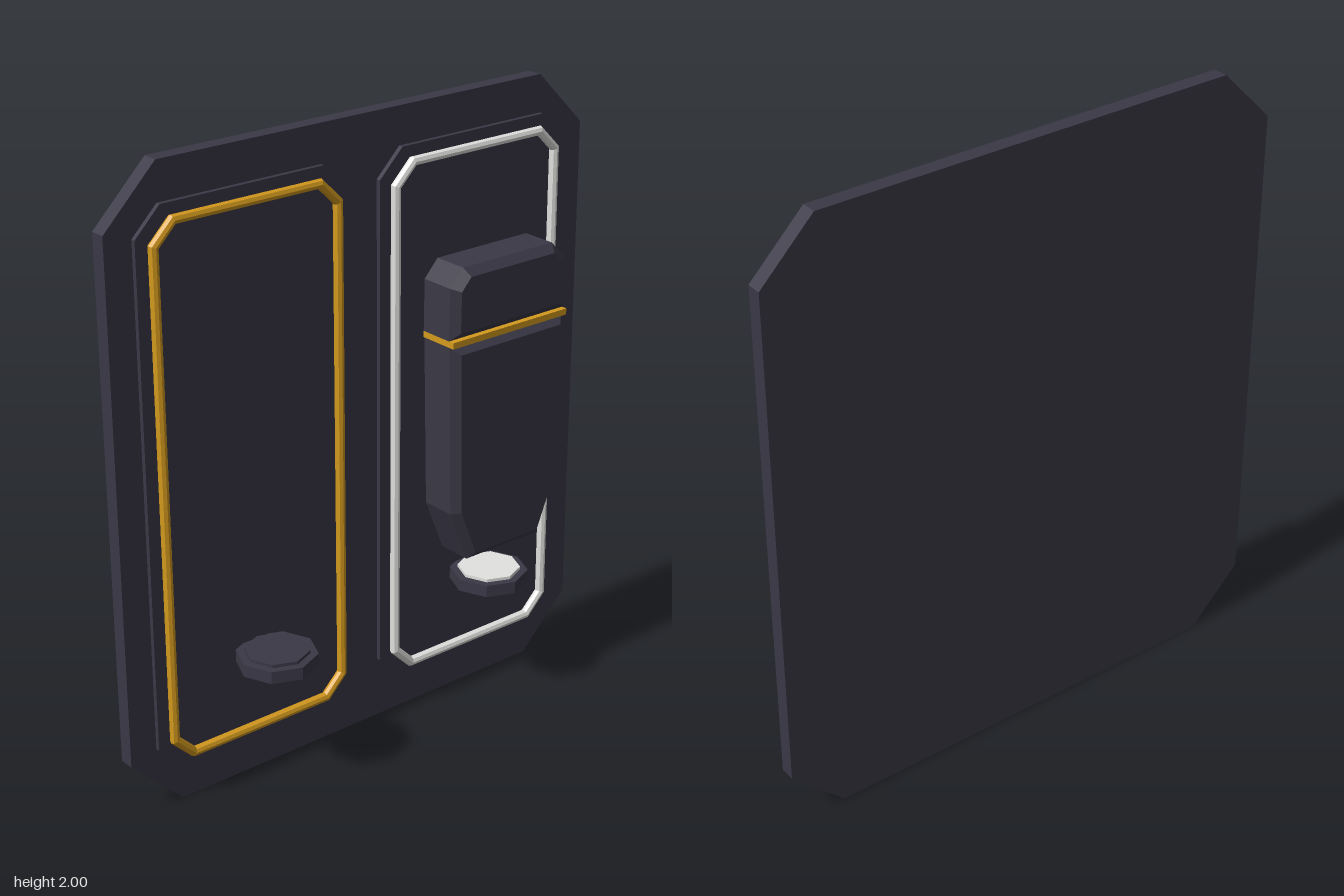
import * as THREE from 'three';

// Outlines are [a, y] points, counter-clockwise seen from +x, with a = -z.
const chamferRect = (a0, a1, y0, y1, c) => [
  [a0 + c, y0], [a1 - c, y0], [a1, y0 + c], [a1, y1 - c],
  [a1 - c, y1], [a0 + c, y1], [a0, y1 - c], [a0, y0 + c],
];

// Moves every edge of a convex outline inward by d
function inset(pts, d) {
  const n = pts.length;
  const normal = (p, q) => {
    const l = Math.hypot(q[0] - p[0], q[1] - p[1]);
    return [-(q[1] - p[1]) / l, (q[0] - p[0]) / l];
  };
  return pts.map((p, i) => {
    const m = normal(pts[(i + n - 1) % n], p), k = normal(p, pts[(i + 1) % n]);
    const s = d / (1 + m[0] * k[0] + m[1] * k[1]);
    return [p[0] + (m[0] + k[0]) * s, p[1] + (m[1] + k[1]) * s];
  });
}

// Joins steps of [x, inset] along an outline; open stacks are capped, closed ones form a ring
function loft(outline, steps, closed = false) {
  const loops = steps.map(([x, d]) => inset(outline, d).map(([a, y]) => [x, y, -a]));
  const n = outline.length, pos = [];
  const tri = (...v) => v.forEach((p) => pos.push(...p));
  const last = closed ? loops.length : loops.length - 1;
  for (let s = 0; s < last; s++) {
    const lo = loops[s], hi = loops[(s + 1) % loops.length];
    for (let i = 0; i < n; i++) {
      const j = (i + 1) % n;
      tri(lo[i], lo[j], hi[j]);
      tri(lo[i], hi[j], hi[i]);
    }
  }
  if (!closed) {
    const b = loops[0], t = loops[loops.length - 1];
    for (let i = 1; i < n - 1; i++) {
      tri(b[0], b[i + 1], b[i]);
      tri(t[0], t[i], t[i + 1]);
    }
  }
  const g = new THREE.BufferGeometry();
  g.setAttribute('position', new THREE.Float32BufferAttribute(pos, 3));
  g.computeVertexNormals();
  return g;
}

export function createModel() {
  const mat = (name, color) => {
    const m = new THREE.MeshStandardMaterial({ color, flatShading: true });
    m.name = name;
    return m;
  };
  const dark = mat('dark slate', 0x3a3846);
  const gold = mat('gold', 0xd49a1e);
  const white = mat('pale grey', 0xe2e2e0);

  const model = new THREE.Group();
  model.name = 'wallDisplay';
  const add = (parent, name, geometry, material) => {
    const m = new THREE.Mesh(geometry, material);
    m.name = name;
    parent.add(m);
    return m;
  };

  // Back board with cut corners
  add(model, 'backBoard', loft(chamferRect(-0.88, 0.88, 0, 2, 0.177), [[-0.15, 0], [-0.1, 0]]), dark);

  // Two bays: raised panel, trim ring and octagonal pedestal
  const ringSteps = Array.from({ length: 8 }, (_, i) => {
    const t = (i / 8) * Math.PI * 2;
    return [-0.07 + 0.015 * Math.sin(t), -0.015 * Math.cos(t)];
  });
  for (const [name, a, trim, capMat] of [['left', -0.425, gold, dark], ['right', 0.425, white, white]]) {
    const bay = new THREE.Group();
    bay.name = name + 'Bay';
    model.add(bay);
    add(bay, 'panel', loft(chamferRect(a - 0.365, a + 0.365, 0.12, 1.88, 0.085), [[-0.1, 0], [-0.085, 0]]), dark);
    add(bay, 'trimRing', loft(chamferRect(a - 0.317, a + 0.317, 0.167, 1.835, 0.065), ringSteps, true), trim);
    const disc = (part, r, h, y, m) => {
      const g = new THREE.CylinderGeometry(r, r, h, 8);
      add(bay, part, g.rotateY(0), m).position.set(0.02, y, -a);
    };
    disc('pedestal', 0.125, 0.04, 0.437, dark);
    disc('pedestalCap', 0.1, 0.01, 0.462, capMat);
  }

  // Bevelled case floating in the right bay
  const pod = new THREE.Group();
  pod.name = 'case';
  model.add(pod);
  const bevel = [[-0.04, 0], [0.075, 0], [0.1, 0.025]];
  const c = 0.425;
  const lid = [
    [c - 0.232, 1.31], [c + 0.232, 1.31], [c + 0.23, 1.475],
    [c + 0.18, 1.53], [c - 0.18, 1.53], [c - 0.23, 1.475],
  ];
  const body = [
    [c - 0.147, 0.56], [c + 0.147, 0.56], [c + 0.217, 0.735],
    [c + 0.229, 1.29], [c - 0.229, 1.29], [c - 0.217, 0.735],
  ];
  add(pod, 'lid', loft(lid, bevel), dark);
  add(pod, 'body', loft(body, bevel), dark);
  const band = add(pod, 'band', new THREE.BoxGeometry(0.135, 0.02, 0.464), gold);
  band.position.set(0.0275, 1.3, -c);

  return model;
}
